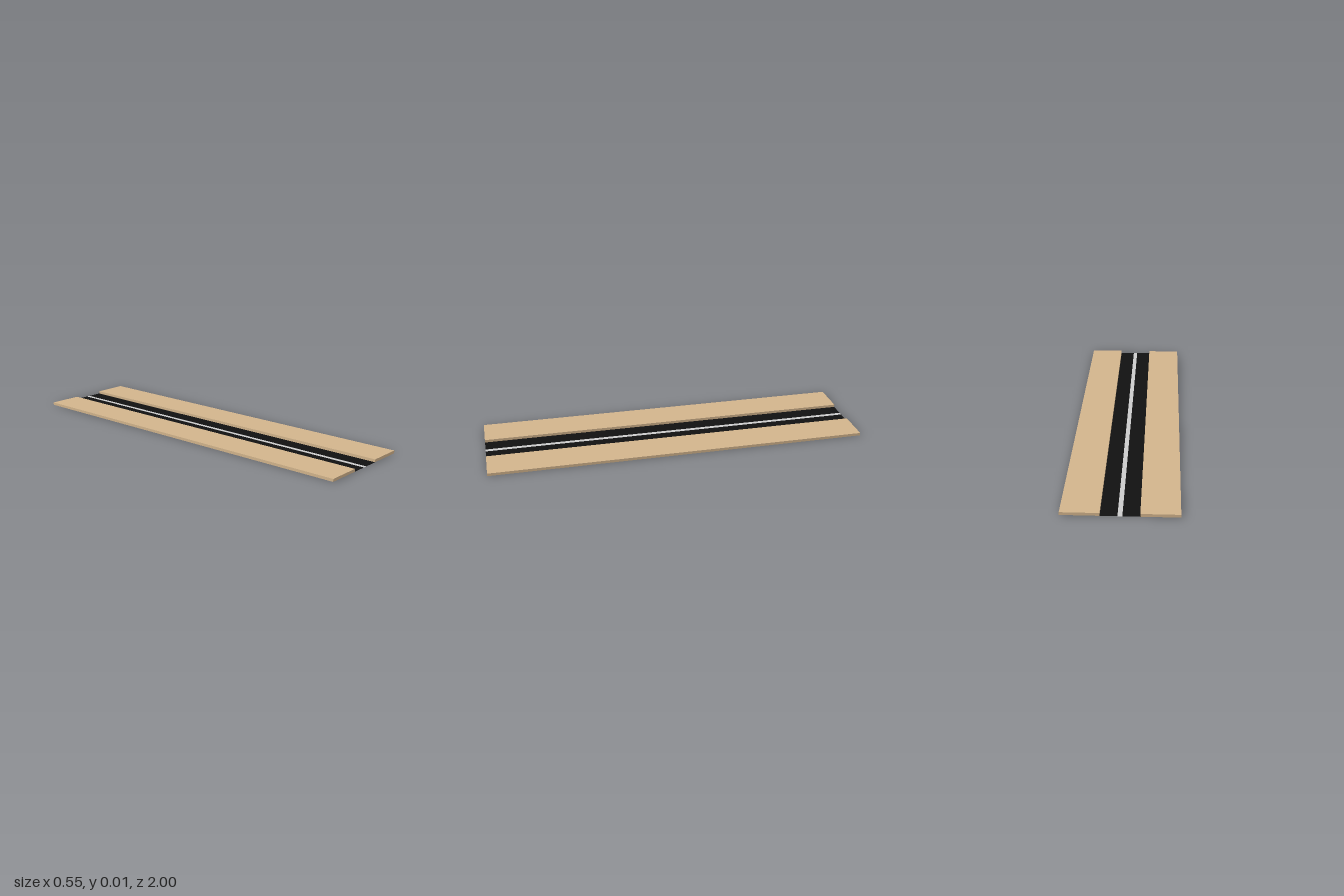
import * as THREE from 'three';

const LENGTH = 2;
const ROAD_HALF = 0.091;
const LINE_HALF = 0.011;
const OUTER = 0.273;
const KERB = 0.0145;

// Flat strip lying on the ground between two x positions
function strip(name, x0, x1, material) {
  const geometry = new THREE.PlaneGeometry(x1 - x0, LENGTH).rotateX(-Math.PI / 2);
  const mesh = new THREE.Mesh(geometry, material);
  mesh.name = name;
  mesh.position.x = (x0 + x1) / 2;
  return mesh;
}

// Raised slab, open underneath
function slab(name, x, width, material) {
  const geometry = new THREE.BoxGeometry(width, KERB, LENGTH);
  const index = Array.from(geometry.index.array);
  index.splice(18, 6); // drop the bottom face
  geometry.setIndex(index);
  geometry.clearGroups();
  const mesh = new THREE.Mesh(geometry, material);
  mesh.name = name;
  mesh.position.set(x, KERB / 2, 0);
  return mesh;
}

export function createModel() {
  const paint = (color) => new THREE.MeshStandardMaterial({ color, side: THREE.DoubleSide });
  const asphalt = paint(0x111111);
  const paving = paint(0xd2b48c);

  const road = new THREE.Group();
  road.name = 'road';

  // Centre marking between the two lanes
  road.add(strip('centreLine', -LINE_HALF, LINE_HALF, paint(0xcccccc)));

  // A lane and a raised pavement on each side
  road.add(strip('leftLane', LINE_HALF, ROAD_HALF, asphalt));
  road.add(strip('rightLane', -ROAD_HALF, -LINE_HALF, asphalt));
  const middle = (ROAD_HALF + OUTER) / 2;
  road.add(slab('leftPavement', middle, OUTER - ROAD_HALF, paving));
  road.add(slab('rightPavement', -middle, OUTER - ROAD_HALF, paving));

  return road;
}
